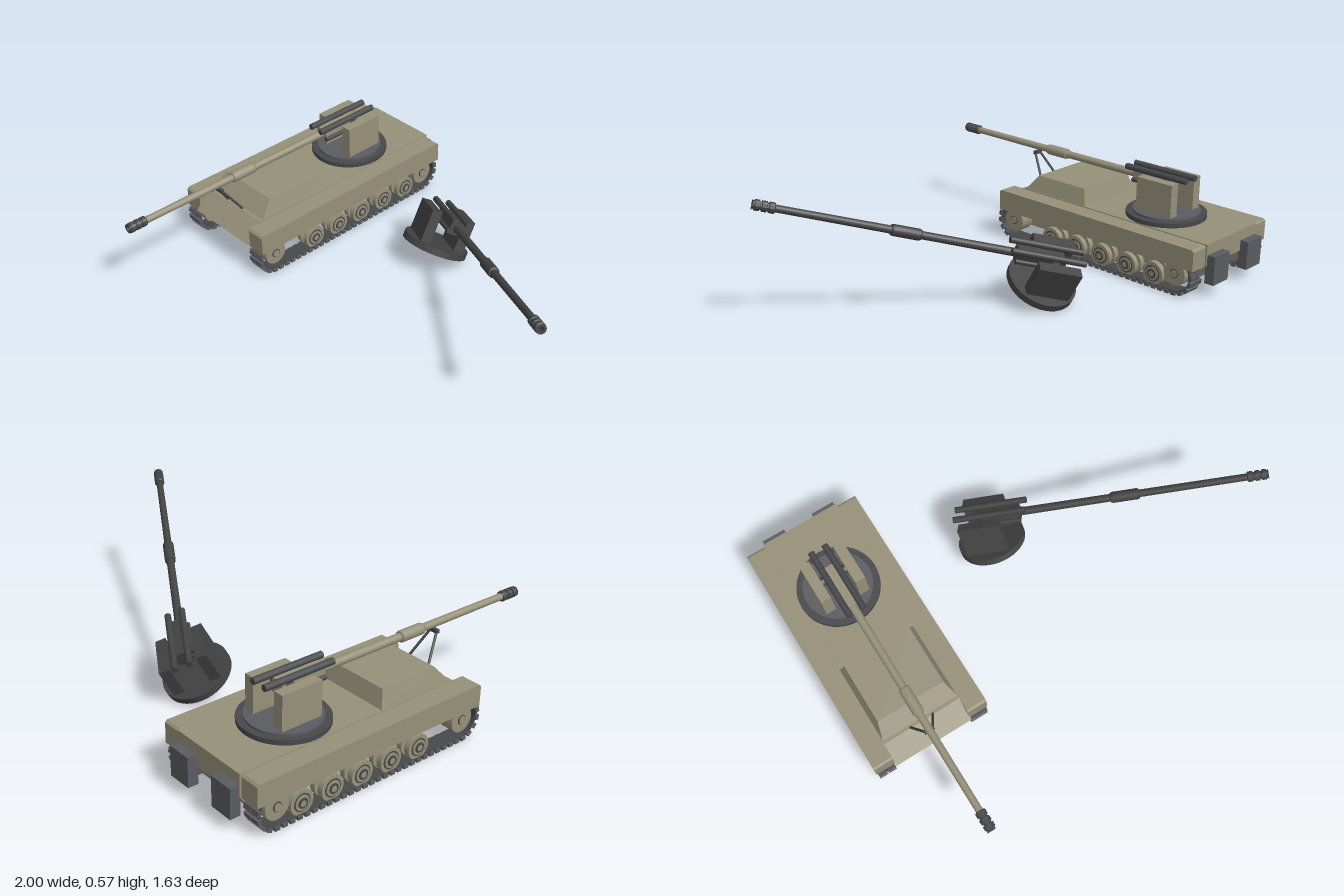
import * as THREE from 'three';
import { mergeGeometries } from 'three/addons/utils/BufferGeometryUtils.js';

const mat = (name, color) => {
  const m = new THREE.MeshStandardMaterial({ color });
  m.name = name;
  return m;
};

export function createModel() {
  const tan = mat('armourTan', 0x969079);
  const grey = mat('metalGrey', 0x5b5c61);
  const dark = mat('darkMetal', 0x47484b);
  const black = mat('burntMetal', 0x434344);

  const add = (parent, name, geo, material, x = 0, y = 0, z = 0) => {
    const m = new THREE.Mesh(geo, material);
    m.name = name;
    m.position.set(x, y, z);
    parent.add(m);
    return m;
  };
  const box = (w, h, d) => new THREE.BoxGeometry(w, h, d);
  // Solid with a side profile in (z, y), extruded across x
  const profile = (pts, width) => {
    const s = new THREE.Shape(pts.map(p => new THREE.Vector2(...p)));
    return new THREE.ExtrudeGeometry(s, { depth: width, bevelEnabled: false })
      .translate(0, 0, -width / 2).rotateY(-Math.PI / 2);
  };
  // Turned solid from [radius, z] points, axis along z
  const turnedZ = (pts, seg = 20) => new THREE.LatheGeometry(
    pts.map(p => new THREE.Vector2(...p)), seg).rotateX(Math.PI / 2);
  const rod = (a, b, r) => {
    const A = new THREE.Vector3(...a), B = new THREE.Vector3(...b);
    return new THREE.TubeGeometry(new THREE.LineCurve3(A, B), 1, r, 8, false);
  };

  // Gun turret: origin at the centre of its base, gun towards +z
  const makeTurret = (name, body, metal, plate) => {
    const g = new THREE.Group();
    g.name = name;
    add(g, 'turntable', new THREE.CylinderGeometry(0.15, 0.15, 0.03, 40), plate, 0, 0.015, 0);
    for (const s of [-1, 1]) {
      add(g, 'sidePlate', box(0.046, 0.15, 0.186), body, s * 0.081, 0.103, -0.003);
      add(g, 'recoilRail', new THREE.CylinderGeometry(0.014, 0.014, 0.325, 12).rotateX(Math.PI / 2),
        metal, s * 0.032, 0.185, 0.042);
      add(g, 'lowerRecoilTube', new THREE.CylinderGeometry(0.011, 0.011, 0.2, 12).rotateX(Math.PI / 2),
        metal, s * 0.03, 0.13, 0.07);
      add(g, 'trunnion', new THREE.CylinderGeometry(0.02, 0.02, 0.04, 16).rotateZ(Math.PI / 2),
        metal, s * 0.045, 0.15, 0);
    }
    add(g, 'cradle', box(0.06, 0.058, 0.205), body, 0, 0.148, 0.067);
    // Barrel with its fume sleeve
    add(g, 'barrel', new THREE.CylinderGeometry(0.015, 0.018, 1.12, 20).rotateX(Math.PI / 2),
      body, 0, 0.15, 0.6);
    add(g, 'barrelSleeve', turnedZ([[0.001, 0.575], [0.021, 0.575], [0.024, 0.582], [0.024, 0.69],
      [0.021, 0.698], [0.001, 0.698]].map(([r, z]) => [r, z])), body, 0, 0.15, 0);
    // Ribbed muzzle brake with an open bore
    const brake = [[0.014, 1.156], [0.02, 1.156]];
    for (let i = 0; i < 3; i++) {
      const z = 1.16 + i * 0.028;
      brake.push([0.0225, z], [0.0225, z + 0.018], [0.017, z + 0.02], [0.017, z + 0.026]);
    }
    brake.push([0.021, 1.243], [0.011, 1.243], [0.011, 1.18], [0.0005, 1.18]);
    const muzzle = turnedZ(brake, 12).toNonIndexed();
    muzzle.computeVertexNormals();
    add(g, 'muzzleBrake', muzzle, metal, 0, 0.15, 0);
    return g;
  };

  const model = new THREE.Group();
  model.name = 'selfPropelledGun';
  const tank = new THREE.Group();
  tank.name = 'vehicle';
  tank.position.x = -0.732;
  model.add(tank);

  // Hull with sloped nose, and the fenders along both sides
  add(tank, 'hull', profile([[-0.775, 0.235], [-0.775, 0.14], [-0.72, 0.065], [0.24, 0.065],
    [0.335, 0.145], [0.348, 0.157], [0.262, 0.235]], 0.362), tan);
  for (const s of [-1, 1]) {
    add(tank, 'fender', profile([[-0.768, 0.222], [-0.768, 0.136], [0.33, 0.136],
      [0.33, 0.222], [0.321, 0.231], [-0.759, 0.231]], 0.09), tan, s * 0.223, 0, 0);
    add(tank, 'rearStowageBox', box(0.106, 0.127, 0.045), grey, s * 0.122, 0.1235, -0.79);
  }

  // Sloped casemate: a box drawn in at the top
  const cas = box(1, 1, 1);
  const p = cas.attributes.position;
  for (let i = 0; i < p.count; i++) {
    const top = p.getY(i) > 0, front = p.getZ(i) > 0;
    p.setXYZ(i, Math.sign(p.getX(i)) * (top ? 0.155 : 0.178), top ? 0.308 : 0.232,
      front ? (top ? 0.185 : 0.25) : (top ? -0.088 : -0.11));
  }
  cas.computeVertexNormals();
  add(tank, 'casemate', cas, tan);

  // Travel lock for the barrel
  for (const s of [-1, 1])
    add(tank, 'travelLockLeg', rod([s * 0.053, 0.245, 0.262], [s * 0.016, 0.355, 0.338], 0.0055), dark);
  add(tank, 'travelLockHead', box(0.045, 0.016, 0.016), dark, 0, 0.356, 0.338);

  // Tracks: stadium-shaped belt with paired pads
  const R = 0.074, CY = 0.093, ZF = 0.25, ZR = -0.672;
  const stadium = (r, C) => {
    const s = new C();
    s.absarc(ZF, CY, r, -Math.PI / 2, Math.PI / 2, false);
    s.absarc(ZR, CY, r, Math.PI / 2, Math.PI * 1.5, false);
    s.closePath();
    return s;
  };
  const belt = stadium(R + 0.006, THREE.Shape);
  belt.holes.push(stadium(R - 0.002, THREE.Path));
  const beltGeo = new THREE.ExtrudeGeometry(belt, { depth: 0.068, bevelEnabled: false, curveSegments: 16 })
    .translate(0, 0, -0.034).rotateY(-Math.PI / 2);
  const straight = ZF - ZR, arc = Math.PI * (R + 0.006), N = 68, pads = [];
  for (let i = 0; i < N; i++) {
    let d = (i / N) * 2 * (straight + arc), z, y, a;
    const half = d >= straight + arc;
    if (half) d -= straight + arc;
    // a is the outward direction, measured from straight down
    a = d < straight ? 0 : (d - straight) / arc * Math.PI;
    const along = Math.min(d, straight) - straight / 2, sign = half ? -1 : 1;
    const r = R + 0.0085;
    z = (ZF + ZR) / 2 + sign * (along + Math.sin(a) * r);
    y = CY - sign * Math.cos(a) * r;
    for (const s of [-1, 1])
      pads.push(box(0.0375, 0.016, 0.022).rotateX(-a - (half ? Math.PI : 0))
        .translate(s * 0.0207, y, z));
  }
  const padGeo = mergeGeometries(pads);

  // Wheels: turned discs with dished faces, axis along x
  const wheel = (name, r, z, y, s) => {
    const g = new THREE.Group();
    g.name = name;
    g.position.set(s * 0.223, y, z);
    tank.add(g);
    const cyl = (r1, w) => new THREE.CylinderGeometry(r1, r1, w, 28).rotateZ(Math.PI / 2);
    for (const e of [-1, 1]) {
      add(g, 'wheelDisc', cyl(r, 0.024), tan, e * 0.02, 0, 0);
      add(g, 'wheelRecess', cyl(r * 0.72, 0.002), dark, e * 0.032, 0, 0);
      add(g, 'wheelPlate', cyl(r * 0.6, 0.006), tan, e * 0.033, 0, 0);
      add(g, 'hubRing', cyl(r * 0.32, 0.004), dark, e * 0.036, 0, 0);
      add(g, 'hubCap', cyl(r * 0.24, 0.008), tan, e * 0.037, 0, 0);
    }
    add(g, 'axle', cyl(r * 0.4, 0.08), dark);
  };
  const endWheel = (name, z, s) => {
    const cyl = (r1, w) => new THREE.CylinderGeometry(r1, r1, w, 28).rotateZ(Math.PI / 2);
    add(tank, name, cyl(0.054, 0.064), tan, s * 0.223, 0.098, z);
    add(tank, name + 'HubRing', cyl(0.02, 0.07), dark, s * 0.223, 0.098, z);
    add(tank, name + 'Hub', cyl(0.016, 0.076), tan, s * 0.223, 0.098, z);
    add(tank, name + 'Axle', cyl(0.02, 0.08), dark, s * 0.2, 0.098, z);
  };
  for (const s of [-1, 1]) {
    add(tank, 'trackBelt', beltGeo, dark, s * 0.223, 0, 0);
    add(tank, 'trackPads', padGeo, grey, s * 0.223, 0, 0);
    for (let i = 0; i < 5; i++) wheel('roadWheel', 0.052, 0.017 - i * 0.1435, 0.066, s);
    endWheel('driveSprocket', 0.248, s);
    endWheel('rearIdler', -0.67, s);
  }

  // Turret ring and mounted gun
  add(tank, 'turretRing', new THREE.CylinderGeometry(0.178, 0.178, 0.022, 48), dark, 0, 0.244, -0.43);
  const gun = makeTurret('mountedGun', tan, dark, grey);
  gun.position.set(0, 0.235, -0.43);
  tank.add(gun);

  // Detached burnt gun lying tilted beside the vehicle
  const wreck = makeTurret('detachedGun', black, black, black);
  wreck.rotation.set(-Math.PI / 6, 0.977, 0);
  wreck.position.set(-0.04, 0.077, -0.31);
  model.add(wreck);
  return model;
}
